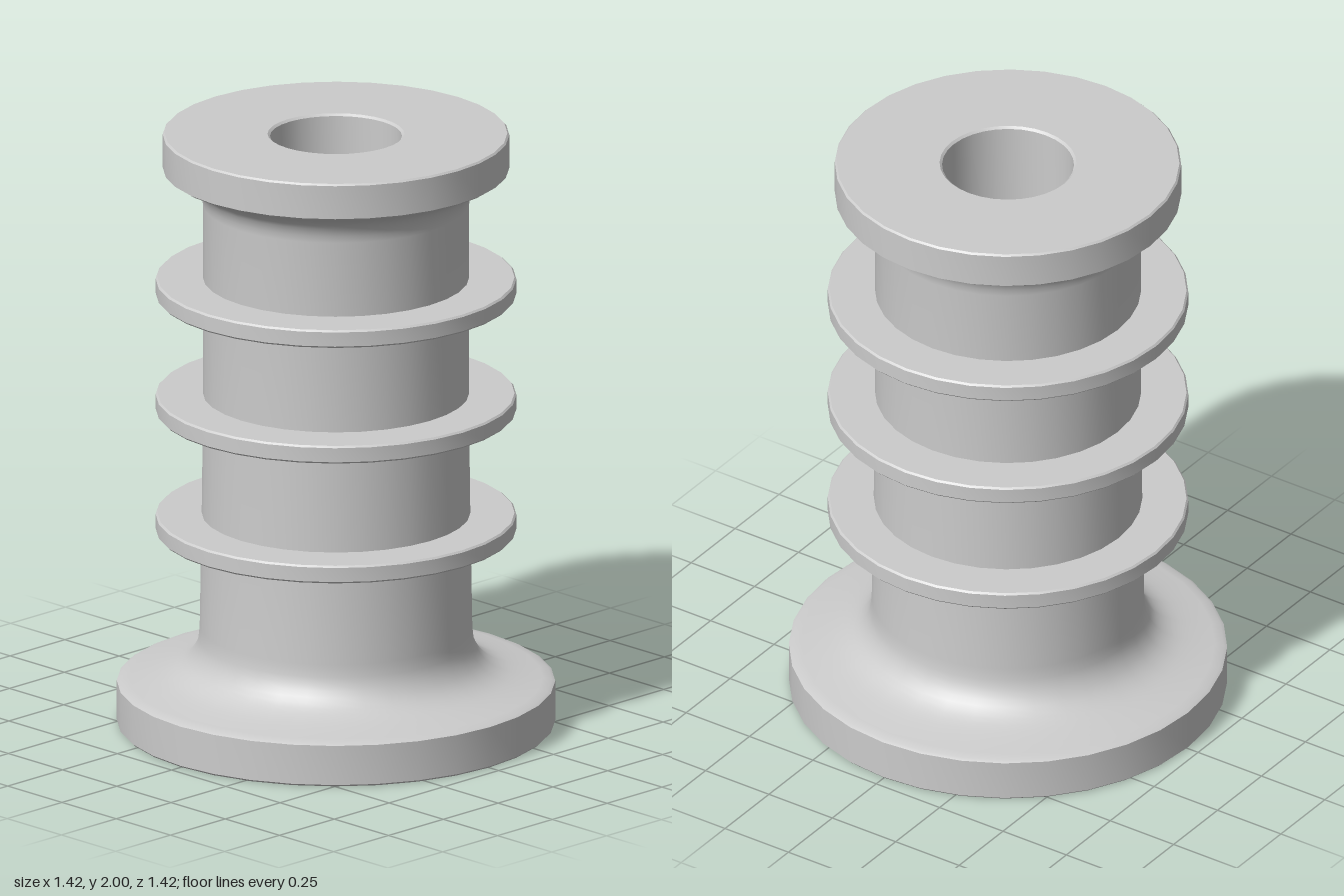
import * as THREE from 'three';
import { toCreasedNormals } from 'three/addons/utils/BufferGeometryUtils.js';

const SIDES = 32;
const material = new THREE.MeshStandardMaterial({ color: 0xcccccc });

// Turned part from a [radius, height] profile running bottom to top on the outside
function turned(name, profile) {
  const points = profile.map(([r, y]) => new THREE.Vector2(r, y));
  const geometry = toCreasedNormals(new THREE.LatheGeometry(points, SIDES), 0.6);
  const mesh = new THREE.Mesh(geometry, material);
  mesh.name = name;
  return mesh;
}

// Smooth run through a few profile points
function smooth(points, steps) {
  const curve = new THREE.SplineCurve(points.map(([r, y]) => new THREE.Vector2(r, y)));
  return curve.getPoints(steps).map((p) => [p.x, p.y]);
}

export function createModel() {
  const group = new THREE.Group();
  group.name = 'ribbedPlug';

  // Base flange, flared barrel, top rim and blind bore in one profile
  const baseFlare = smooth(
    [[0.7, 0.145], [0.6, 0.162], [0.53, 0.182], [0.48, 0.217], [0.45, 0.27], [0.442, 0.33]], 14);
  const topFlare = smooth(
    [[0.432, 1.76], [0.437, 1.79], [0.455, 1.825], [0.49, 1.85], [0.55, 1.874]], 10);
  group.add(turned('body', [
    [0, 0], [0.705, 0], [0.711, 0.006], [0.711, 0.139],
    ...baseFlare,
    [0.436, 0.68], [0.432, 1.0],
    ...topFlare,
    [0.562, 1.882], [0.562, 1.994], [0.556, 2],
    [0.222, 1.997], [0.214, 1.99], [0.214, 1.0], [0, 1.0],
  ]));

  // Three thin ribs around the barrel
  [0.68, 1.087, 1.48].forEach((y, i) => {
    const rib = turned(`rib${i + 1}`, [
      [0.4, -0.03], [0.579, -0.03], [0.585, -0.024],
      [0.585, 0.024], [0.579, 0.03], [0.4, 0.03],
    ]);
    rib.position.y = y;
    group.add(rib);
  });

  return group;
}
